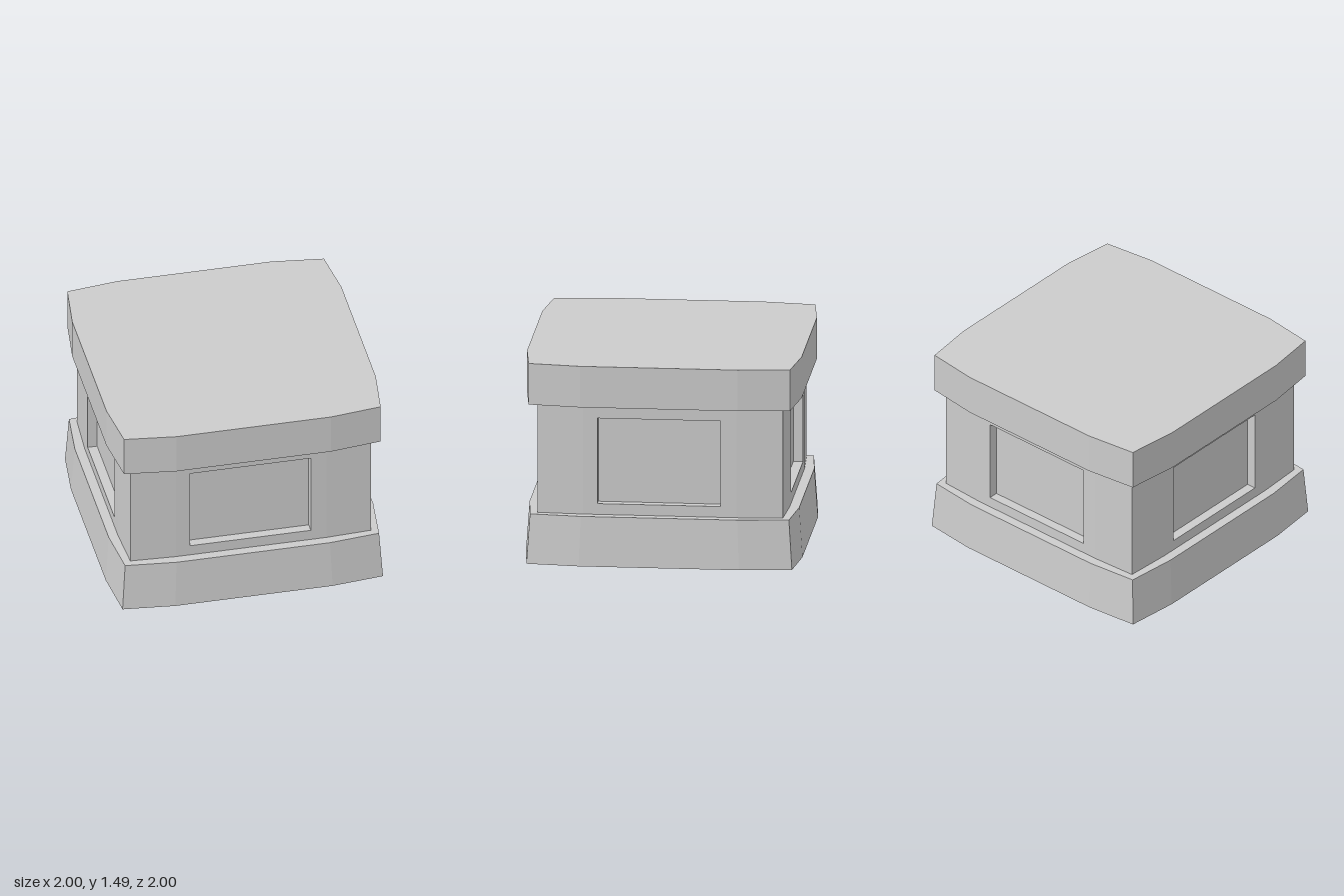
import * as THREE from 'three';

const material = new THREE.MeshStandardMaterial({ color: 0xcccccc, flatShading: true });

// Bulged square: each side has a flat middle (half width b, distance h) and
// slants back to the corner at c; a notch sinks the flat middle inwards.
function bulgedOutline(h, c, b, notch = 0) {
  const points = [];
  for (let i = 0; i < 4; i++) {
    const side = notch
      ? [[c, -c], [h, -b], [h - notch, -b], [h - notch, b], [h, b]]
      : [[c, -c], [h, -b], [h, b]];
    for (const [x, y] of side) {
      points.push(new THREE.Vector2(x, y).rotateAround(new THREE.Vector2(), i * Math.PI / 2));
    }
  }
  return new THREE.Shape(points);
}

// Upright block from y0 to y1; the top is scaled by taper
function block(name, outline, y0, y1, taper = 1) {
  const geometry = new THREE.ExtrudeGeometry(outline, { depth: y1 - y0, bevelEnabled: false });
  geometry.rotateX(-Math.PI / 2);
  const p = geometry.attributes.position;
  for (let i = 0; i < p.count; i++) {
    const s = p.getY(i) > 0.001 ? taper : 1;
    p.setXYZ(i, p.getX(i) * s, p.getY(i) + y0, p.getZ(i) * s);
  }
  geometry.computeVertexNormals();
  const mesh = new THREE.Mesh(geometry, material);
  mesh.name = name;
  return mesh;
}

function rectangle(Type, x0, y0, x1, y1) {
  return new Type([[x0, y0], [x1, y0], [x1, y1], [x0, y1]].map(([x, y]) => new THREE.Vector2(x, y)));
}

export function createModel() {
  const model = new THREE.Group();
  model.name = 'pedestal';

  const baseTop = 0.365, capBottom = 1.18, top = 1.485;
  const bodyHalf = 0.905, flatHalf = 0.555, recess = 0.07;

  // Tapered plinth, body core and overhanging cap
  model.add(block('base', bulgedOutline(1, 0.96, 0.58), 0, baseTop, 0.975));
  model.add(block('body', bulgedOutline(bodyHalf, 0.887, flatHalf, recess), baseTop, capBottom));
  model.add(block('cap', bulgedOutline(0.993, 0.946, 0.57), capBottom, top));

  // Frame around the sunken panel on each side
  const frame = rectangle(THREE.Shape, -flatHalf, baseTop, flatHalf, capBottom);
  frame.holes.push(rectangle(THREE.Path, -0.452, 0.445, 0.44, 1.08));
  const frameGeometry = new THREE.ExtrudeGeometry(frame, { depth: recess, bevelEnabled: false });
  frameGeometry.translate(0, 0, bodyHalf - recess);
  ['front', 'left', 'back', 'right'].forEach((side, i) => {
    const mesh = new THREE.Mesh(frameGeometry, material);
    mesh.name = side + 'PanelFrame';
    mesh.rotation.y = i * Math.PI / 2;
    model.add(mesh);
  });

  return model;
}
